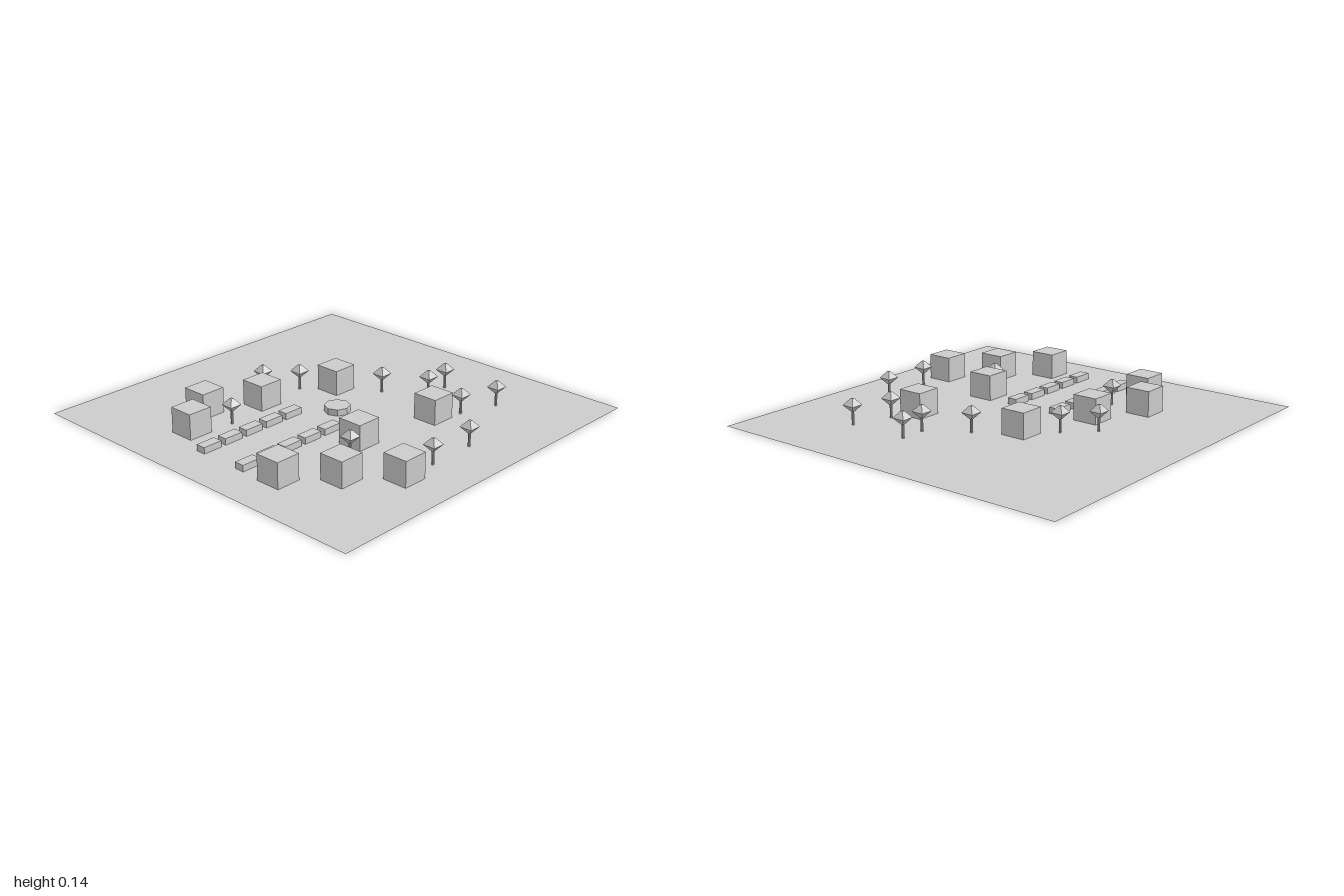
import * as THREE from 'three';

const U = 1 / 15; // one village grid unit

export function createModel() {
  const village = new THREE.Group();
  village.name = 'village';
  const grey = new THREE.MeshStandardMaterial({ color: 0xcccccc, flatShading: true });
  const groundGrey = new THREE.MeshStandardMaterial({ color: 0xcccccc, side: THREE.DoubleSide });

  function add(parent, name, geometry, x, y, z, material = grey) {
    const mesh = new THREE.Mesh(geometry, material);
    mesh.name = name;
    mesh.position.set(x * U, y * U, z * U);
    parent.add(mesh);
    return mesh;
  }

  // Flat square ground
  add(village, 'ground', new THREE.PlaneGeometry(2, 2).rotateX(-Math.PI / 2), 0, 0, 0, groundGrey);

  // Cube houses scattered around the square
  const houseGeometry = new THREE.BoxGeometry(2 * U, 2 * U, 2 * U);
  const houses = [[-7, -7], [-10, -5], [-3, -5], [3, -3], [-11, 5], [-3, 5], [4, 6], [-8, 8], [-5, 11]];
  for (const [x, z] of houses) add(village, 'house', houseGeometry, x, 1, z);

  // Two rows of low market stalls
  const stallGeometry = new THREE.BoxGeometry(1.6 * U, 0.5 * U, 0.8 * U);
  for (const z of [-2, 2]) {
    for (let x = -11; x <= -3; x += 2) add(village, 'stall', stallGeometry, x, 0.25, z);
  }

  // Eight-sided well
  add(village, 'well', new THREE.CylinderGeometry(U, U, 0.5 * U, 8), 0, 0.25, 0);

  // Trees: thin trunk under a square, double-tapered crown
  const trunkGeometry = new THREE.CylinderGeometry(0.1 * U, 0.1 * U, 1.1 * U, 8);
  const profile = [[0, -0.5], [0.14, -0.5], [0.72, 0], [0.14, 0.5], [0, 0.5]];
  const crownGeometry = new THREE.LatheGeometry(
    profile.map(([r, y]) => new THREE.Vector2(r * U, y * U)), 4).rotateY(Math.PI / 4);
  const trees = [[-1, -7], [1, -5], [-7, -4], [5, 0], [7, 3], [9, 3], [6, 7], [9, 8], [-5, 6], [-2, 11], [2, 11]];
  for (const [x, z] of trees) {
    const tree = new THREE.Group();
    tree.name = 'tree';
    tree.position.set(x * U, 0, z * U);
    add(tree, 'trunk', trunkGeometry, 0, 0.55, 0);
    add(tree, 'crown', crownGeometry, 0, 1.53, 0);
    village.add(tree);
  }
  return village;
}
